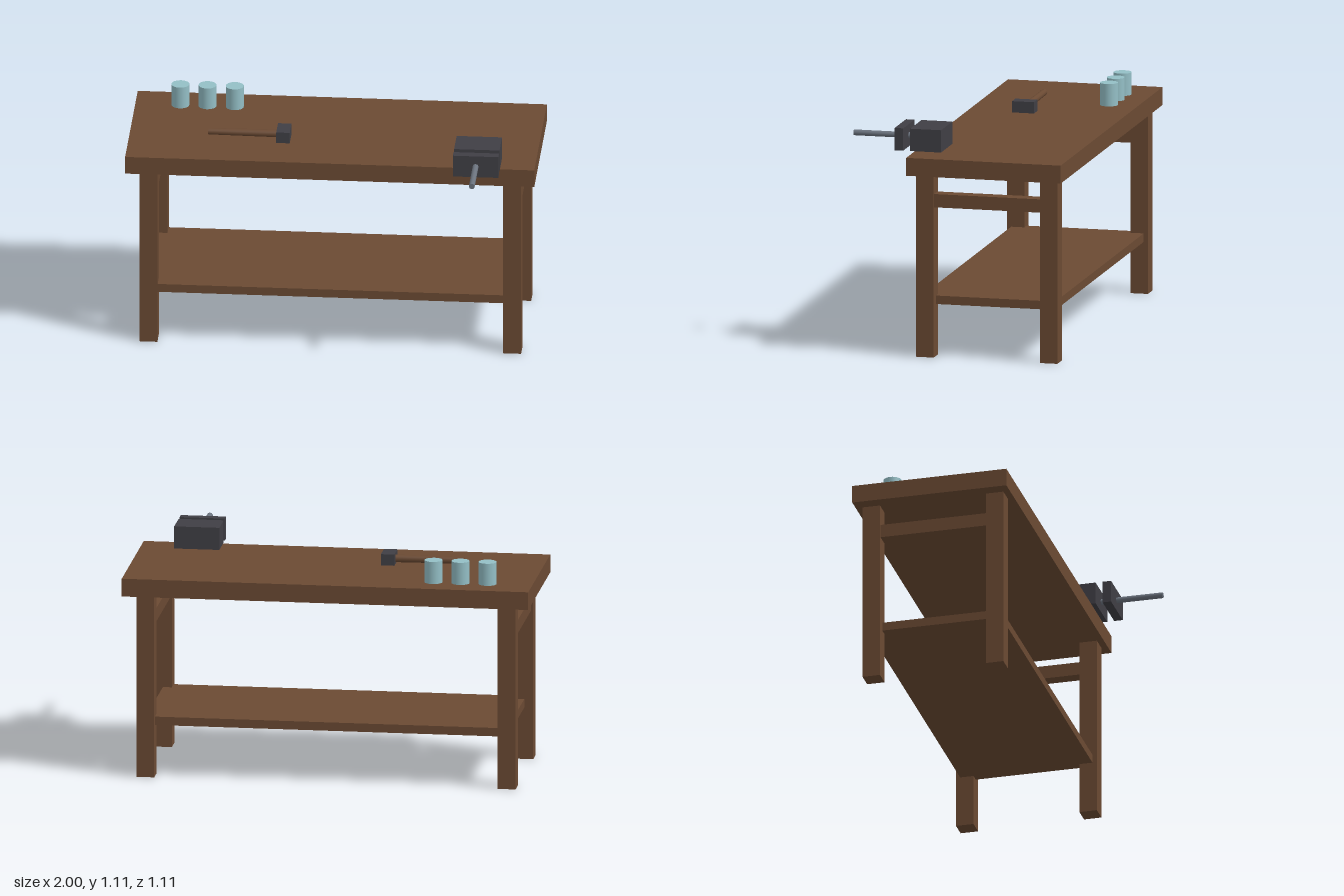
import * as THREE from 'three';

const material = (name, color) => {
  const m = new THREE.MeshStandardMaterial({ color });
  m.name = name;
  return m;
};

export function createModel() {
  const bench = new THREE.Group();
  bench.name = 'workbench';
  const wood = material('brown wood', 0x6b4a33);
  const iron = material('dark iron', 0x403f45);
  const steel = material('grey steel', 0x6c747f);
  const glass = material('pale blue', 0x94bfc6);

  const add = (name, geometry, mat, x, y, z) => {
    const mesh = new THREE.Mesh(geometry, mat);
    mesh.name = name;
    mesh.position.set(x, y, z);
    bench.add(mesh);
    return mesh;
  };
  // Box given by its lowest and highest corners
  const box = (name, mat, [x0, y0, z0], [x1, y1, z1]) =>
    add(name, new THREE.BoxGeometry(x1 - x0, y1 - y0, z1 - z0), mat,
      (x0 + x1) / 2, (y0 + y1) / 2, (z0 + z1) / 2);

  // Table top and lower shelf, the shelf let into the legs
  box('tabletop', wood, [-1, 0.911, -0.555], [1, 1, 0.222]);
  box('shelf', wood, [-0.889, 0.258, -0.5], [0.889, 0.3, 0.167]);

  // Legs and the side rails between them
  for (const side of [-1, 1]) {
    const x = side * 0.889;
    for (const z of [-0.477, 0.145]) {
      box(z > 0 ? 'frontLeg' : 'backLeg', wood,
        [x - 0.044, 0, z - 0.044], [x + 0.044, 0.911, z + 0.044]);
    }
    box('sideRail', wood, [x - 0.033, 0.745, -0.455], [x + 0.033, 0.811, 0.123]);
  }

  // Vise at the front edge
  box('viseBody', iron, [0.61, 1, 0.09], [0.832, 1.111, 0.245]);
  box('viseJaw', iron, [0.61, 1, 0.28], [0.832, 1.111, 0.323]);
  add('viseScrew', new THREE.CylinderGeometry(0.0145, 0.0145, 0.355, 10), steel, 0.721, 1.056, 0.378)
    .rotation.x = Math.PI / 2;

  // Mallet lying on the top
  box('malletHead', iron, [-0.279, 1, -0.11], [-0.213, 1.056, 0]);
  add('malletHandle', new THREE.CylinderGeometry(0.016, 0.019, 0.35, 10), wood, -0.44, 1.025, -0.058)
    .rotation.z = Math.PI / 2;

  // Row of jars
  for (let i = 0; i < 3; i++) {
    add('jar', new THREE.CylinderGeometry(0.0445, 0.0445, 0.111, 14), glass,
      -0.78 + i * 0.133, 1.0555, -0.41);
  }
  return bench;
}
